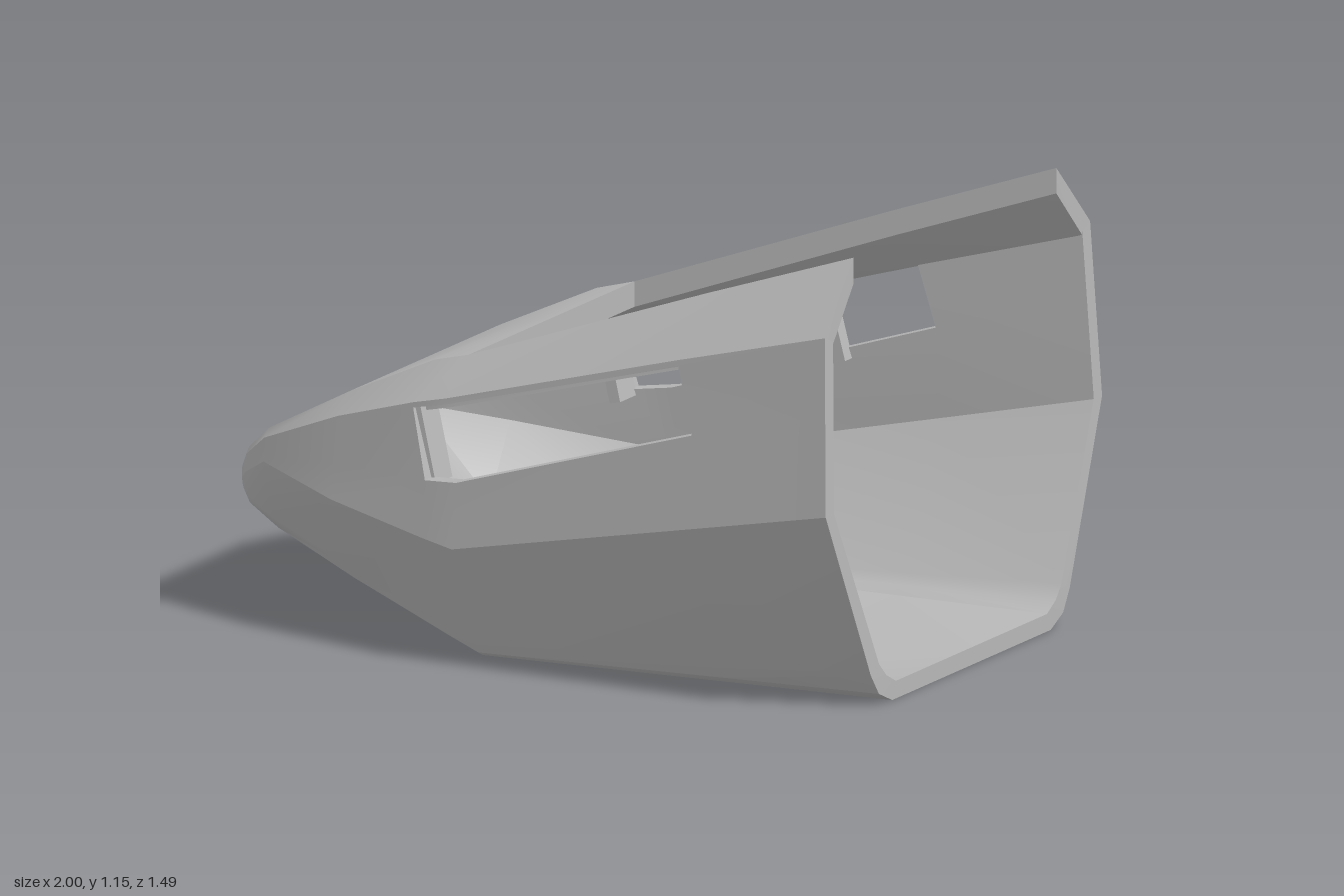
import * as THREE from 'three';
import { toCreasedNormals } from 'three/addons/utils/BufferGeometryUtils.js';

// Half cross-sections from nose to stern, in [half width, height]:
// bottom edge, two bilge points, chine, shoulder, roof edge
const SECTIONS = [
  { u: -1.905, p: [[0.2, 0.31], [0.2, 0.31], [0.2, 0.31], [0.2, 0.31], [0.2, 0.31], [0.2, 0.31]] },
  { u: -1.895, p: [[0.21, 0.285], [0.215, 0.29], [0.22, 0.3], [0.225, 0.32], [0.225, 0.345], [0.215, 0.355]] },
  { u: -1.865, p: [[0.22, 0.255], [0.24, 0.262], [0.255, 0.285], [0.265, 0.345], [0.26, 0.39], [0.245, 0.405]] },
  { u: -1.75, p: [[0.28, 0.21], [0.31, 0.225], [0.335, 0.255], [0.39, 0.41], [0.385, 0.47], [0.36, 0.49]] },
  { u: -1.5, p: [[0.36, 0.128], [0.385, 0.14], [0.4, 0.165], [0.51, 0.365], [0.47, 0.57], [0.41, 0.62]] },
  { u: -1.2, p: [[0.445, 0.035], [0.465, 0.046], [0.48, 0.073], [0.6, 0.318], [0.555, 0.65], [0.44, 0.735]], skew: 0.045 },
  { u: -1.1, p: [[0.46, 0], [0.485, 0.012], [0.5, 0.04], [0.63, 0.305], [0.58, 0.675], [0.45, 0.76]], skew: 0.045 },
  { u: 0, p: [[0.43, 0], [0.5, 0.03], [0.54, 0.085], [0.75, 0.53], [0.72, 0.98], [0.55, 1.15]], stern: true },
];
const mix = (a, b, t) => a.map((v, i) => v + (b[i] - v) * t);

// Extra section at the rear edge of the windows
const [kink, stern] = SECTIONS.slice(-2);
SECTIONS.splice(7, 0, { u: -0.4, p: kink.p.map((q, i) => mix(q, stern.p[i], 0.63)), skew: 0.045 });

// Inward offsets giving the shell its thickness, one for each row
const INSET = [[0, 0.045], [-0.02, 0.045], [-0.04, 0.04], [-0.045, 0.02], [-0.045, 0],
  [-0.045, 0], [-0.045, 0], [-0.04, -0.03], [0, -0.065], [0, -0.065]];
const CHINE = 4, SILL = 5, SHOULDER = 7, ROOF = 8, ROWS = 10;
const BULKHEAD = -1.7;

// Outer and inner point grids: the rows run from keel to roof centre line
const outer = SECTIONS.map(({ u, p, skew = 0, stern }) => {
  const t = THREE.MathUtils.clamp((u + 1.2) / 0.8, 0, 1);
  const rows = [[0, p[0][1]], p[0], p[1], p[2], p[3],
    mix(p[3], p[4], 0.43 + 0.13 * t), mix(p[3], p[4], 0.96), p[4], p[5], [0, p[5][1]]];
  return rows.map(([v, y], k) =>
    new THREE.Vector3(stern ? 0.03 - 0.04 * y : u - (k > SILL ? skew : 0), y, v));
});
const inner = outer.map((row) => row.map((q, k) =>
  new THREE.Vector3(Math.max(q.x, BULKHEAD), q.y + INSET[k][1], q.z + INSET[k][0])));

// A cell is missing at the windows and at the open rear roof
function solid(i, k) {
  if (i < 0 || i >= outer.length - 1) return false;
  if (k === SILL && (i === 5 || i === 6)) return false;
  return !(k === ROOF && i >= 6);
}

// Thick shell between two rows, mirrored to both sides
function shell(name, k0, k1, material) {
  const pos = [];
  const tri = (a, b, c) => {
    const area = b.clone().sub(a).cross(c.clone().sub(a)).length();
    if (area < 1e-8) return;
    for (const q of [a, b, c]) pos.push(q.x, q.y, q.z);
    for (const q of [a, c, b]) pos.push(q.x, q.y, -q.z);
  };
  const quad = (a, b, c, d) => { tri(a, b, c); tri(a, c, d); };
  for (let i = 0; i < outer.length - 1; i++) {
    for (let k = k0; k < k1; k++) {
      if (!solid(i, k)) continue;
      const c = [[i, k], [i + 1, k], [i + 1, k + 1], [i, k + 1]];
      const o = c.map(([a, b]) => outer[a][b]);
      const n = c.map(([a, b]) => inner[a][b]);
      quad(...o);
      quad(n[3], n[2], n[1], n[0]);
      // Close the thickness along every free edge
      const open = [k > 0 && !solid(i, k - 1), !solid(i + 1, k),
        k < ROWS - 2 && !solid(i, k + 1), i > 0 && !solid(i - 1, k)];
      open.forEach((free, e) => {
        const f = (e + 1) % 4;
        if (free) quad(o[f], o[e], n[e], n[f]);
      });
    }
  }
  const geo = new THREE.BufferGeometry();
  geo.setAttribute('position', new THREE.Float32BufferAttribute(pos, 3));
  const mesh = new THREE.Mesh(toCreasedNormals(geo, 0.5), material);
  mesh.name = name;
  return mesh;
}

export function createModel() {
  const grey = new THREE.MeshStandardMaterial({ color: 0xb8b8b8 });
  grey.name = 'hull grey';

  const hull = new THREE.Group();
  hull.name = 'hull';
  hull.add(
    shell('lowerHull', 0, CHINE, grey),
    shell('sideWalls', CHINE, SHOULDER, grey),
    shell('roofAndRails', SHOULDER, ROWS - 1, grey),
  );

  function box(name, size, at, tilt = 0) {
    const mesh = new THREE.Mesh(new THREE.BoxGeometry(...size), grey);
    mesh.name = name;
    mesh.position.set(...at);
    mesh.rotation.z = tilt;
    hull.add(mesh);
  }

  // Deep jambs at the front of both windows
  for (const side of [1, -1]) {
    box('windowJamb', [0.03, 0.21, 0.09], [-1.225, 0.545, side * 0.5], 0.22);
  }
  // Panel across the middle of one window
  box('windowPanel', [0.28, 0.25, 0.04], [-0.79, 0.67, -0.6], 0.26);

  // The hull sits slightly turned
  hull.rotation.y = -0.098;
  hull.position.set(0.918, 0, 0);

  const model = new THREE.Group();
  model.name = 'openHull';
  model.add(hull);
  return model;
}
